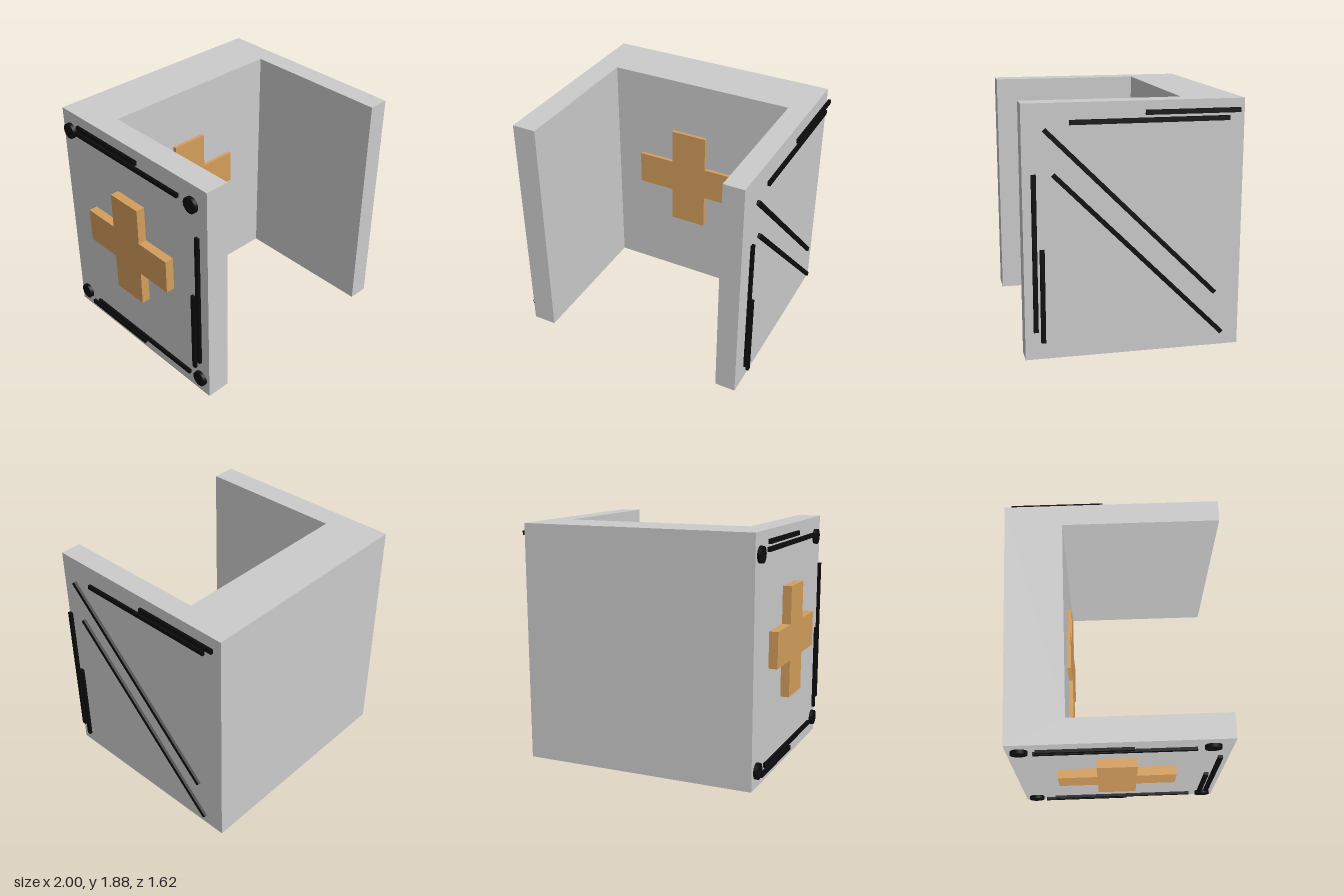
import * as THREE from 'three';

const grey = new THREE.MeshStandardMaterial({ color: 0xcccccc });
const orange = new THREE.MeshStandardMaterial({ color: 0xd49e5c });
const black = new THREE.MeshStandardMaterial({ color: 0x0c0c0c });

function shapeFrom(points) {
  return new THREE.Shape(points.map(([x, y]) => new THREE.Vector2(x, y)));
}

// Plus sign centred on the origin, extruded along +z
function makeCross(name, depth) {
  const W = 0.458, H = 0.434, w = 0.152, h = 0.14;
  const shape = shapeFrom([
    [-w, -H], [w, -H], [w, -h], [W, -h], [W, h], [w, h],
    [w, H], [-w, H], [-w, h], [-W, h], [-W, -h], [-w, -h],
  ]);
  const mesh = new THREE.Mesh(new THREE.ExtrudeGeometry(shape, { depth, bevelEnabled: false }), orange);
  mesh.name = name;
  return mesh;
}

// Thin strip lying in a side plane, running from (z0, y0) to (z1, y1)
function makeStrip(name, x, z0, y0, z1, y1) {
  const length = Math.hypot(z1 - z0, y1 - y0);
  const mesh = new THREE.Mesh(new THREE.BoxGeometry(0.022, 0.034, length), black);
  mesh.position.set(x, (y0 + y1) / 2, (z0 + z1) / 2);
  mesh.rotation.x = -Math.atan2(y1 - y0, z1 - z0);
  mesh.name = name;
  return mesh;
}

export function createModel() {
  const model = new THREE.Group();

  // U-shaped walls, open to the front
  const plan = shapeFrom([
    [-0.93, -0.81], [-0.74, -0.81], [-0.74, 0.38], [0.775, 0.38],
    [0.775, -0.81], [0.94, -0.81], [0.94, 0.815], [-0.93, 0.815],
  ]);
  const wallGeometry = new THREE.ExtrudeGeometry(plan, { depth: 1.88, bevelEnabled: false });
  wallGeometry.rotateX(-Math.PI / 2);
  const walls = new THREE.Mesh(wallGeometry, grey);
  walls.name = 'walls';
  model.add(walls);

  // Crosses on the back wall and on the right outer wall
  const innerCross = makeCross('innerCross', 0.04);
  innerCross.position.set(-0.058, 0.99, -0.39);
  const outerCross = makeCross('outerCross', 0.08);
  outerCross.rotation.y = -Math.PI / 2;
  outerCross.position.set(-0.92, 0.99, -0.024);
  model.add(innerCross, outerCross);

  // Strips on the left side: x, z0, y0, z1, y1
  const leftStrips = new THREE.Group();
  leftStrips.name = 'leftStrips';
  [
    [0.977, -0.77, 1.8, -0.07, 1.8],
    [0.977, -0.69, 1.745, 0.475, 1.745],
    [0.989, 0.735, 0.23, 0.735, 1.39],
    [0.989, 0.682, 0.145, 0.682, 0.845],
    [0.977, -0.61, 0.435, 0.655, 1.7],
    [0.977, -0.67, 0.115, 0.595, 1.38],
  ].forEach((s) => leftStrips.add(makeStrip('strip', ...s)));
  model.add(leftStrips);

  // Strips on the right side
  const rightStrips = new THREE.Group();
  rightStrips.name = 'rightStrips';
  [
    [-0.96, -0.6, 1.8, 0.1, 1.8],
    [-0.96, -0.62, 1.745, 0.545, 1.745],
    [-0.96, 0.735, 0.325, 0.735, 1.49],
    [-0.96, 0.682, 0.245, 0.682, 0.945],
    [-0.942, -0.56, 0.122, 0.605, 0.122],
    [-0.942, -0.64, 0.07, 0.06, 0.07],
  ].forEach((s) => rightStrips.add(makeStrip('strip', ...s)));
  model.add(rightStrips);

  // Round studs at the corners of the right side
  const studGeometry = new THREE.CylinderGeometry(0.062, 0.062, 0.03, 32);
  studGeometry.rotateZ(Math.PI / 2);
  [[-0.72, 1.72], [0.66, 1.72], [-0.72, 0.135], [0.72, 0.135]].forEach(([z, y]) => {
    const stud = new THREE.Mesh(studGeometry, black);
    stud.position.set(-0.943, y, z);
    stud.name = 'cornerStud';
    model.add(stud);
  });

  return model;
}
